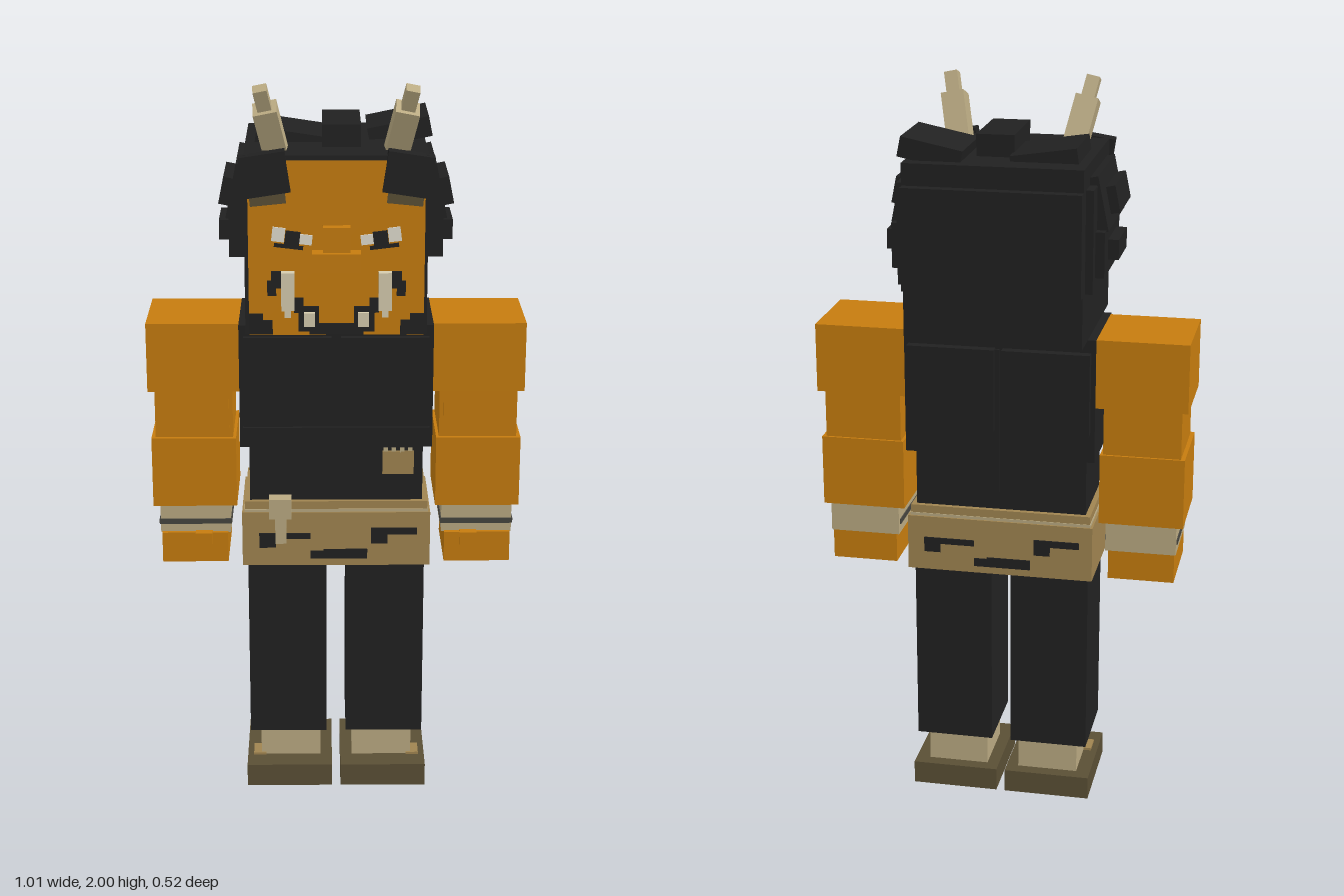
import * as THREE from 'three';

function material(name, color) {
  const m = new THREE.MeshStandardMaterial({ color });
  m.name = name;
  return m;
}

export function createModel() {
  const black = material('black cloth and hair', 0x212121);
  const skin = material('orange skin', 0xc67c0e);
  const tan = material('tan skirt', 0xa08450);
  const beige = material('beige wraps', 0xbaaa82);
  const sole = material('dark brown', 0x5a4f35);
  const ivory = material('ivory tusk', 0xd6ccae);
  const white = material('eye white', 0xe2ddd0);
  const grey = material('dark grey band', 0x45443e);

  const model = new THREE.Group();
  model.name = 'hornedFighter';
  const part = (name) => {
    const g = new THREE.Group();
    g.name = name;
    model.add(g);
    return g;
  };
  // Box from its bounds, optionally tilted about its own centre
  const box = (parent, name, mat, [x0, x1], [y0, y1], [z0, z1], rz = 0) => {
    const mesh = new THREE.Mesh(new THREE.BoxGeometry(x1 - x0, y1 - y0, z1 - z0), mat);
    mesh.position.set((x0 + x1) / 2, (y0 + y1) / 2, (z0 + z1) / 2);
    mesh.rotation.z = rz;
    mesh.name = name;
    parent.add(mesh);
    return mesh;
  };
  // The same box on both sides
  const pair = (parent, name, mat, [x0, x1], y, z, rz = 0) => {
    box(parent, name + 'Left', mat, [x0, x1], y, z, rz);
    box(parent, name + 'Right', mat, [-x1, -x0], y, z, -rz);
  };

  // Legs and shoes
  const legs = part('legs');
  pair(legs, 'shoe', sole, [0.012, 0.252], [0, 0.065], [-0.133, 0.145]);
  pair(legs, 'shoeTab', tan, [0.2, 0.235], [0.06, 0.072], [0.03, 0.085]);
  pair(legs, 'ankleWrap', beige, [0.045, 0.213], [0.06, 0.16], [-0.098, 0.08]);
  pair(legs, 'trouserLeg', black, [0.027, 0.242], [0.157, 0.7], [-0.12, 0.11]);

  // Skirt, belt and camouflage patches
  const waist = part('waist');
  box(waist, 'skirt', tan, [-0.256, 0.256], [0.677, 0.832], [-0.143, 0.135]);
  box(waist, 'belt', tan, [-0.248, 0.248], [0.832, 0.862], [-0.136, 0.128]);
  box(waist, 'beltStrip', beige, [-0.25, 0.25], [0.832, 0.84], [-0.138, 0.13]);
  const patches = [
    [-0.21, -0.07, 0.755, 0.772], [-0.21, -0.165, 0.73, 0.755],
    [0.095, 0.22, 0.768, 0.787], [0.095, 0.14, 0.742, 0.768],
    [-0.07, 0.085, 0.697, 0.72], [-0.035, 0.085, 0.713, 0.725],
  ];
  for (const [x0, x1, y0, y1] of patches) {
    box(waist, 'frontPatch', black, [x0, x1], [y0, y1], [0.131, 0.138]);
    box(waist, 'backPatch', black, [-x1, -x0], [y0, y1], [-0.146, -0.139]);
  }
  box(waist, 'buckle', beige, [-0.182, -0.122], [0.82, 0.877], [0.11, 0.156]);
  box(waist, 'strap', beige, [-0.166, -0.136], [0.745, 0.825], [0.125, 0.146]);

  // Torso and vest
  const torso = part('torso');
  box(torso, 'shirt', black, [-0.234, 0.234], [0.85, 1.03], [-0.122, 0.115]);
  box(torso, 'chest', black, [-0.258, 0.258], [1.02, 1.36], [-0.14, 0.13]);
  pair(torso, 'chestPanel', black, [0.013, 0.246], [1.083, 1.33], [0.12, 0.146]);
  box(torso, 'chestHem', black, [-0.25, 0.25], [1.025, 1.078], [0.12, 0.14]);
  pair(torso, 'backPanel', black, [0.01, 0.246], [1.1, 1.325], [-0.165, -0.13]);
  box(torso, 'backCord', black, [-0.006, 0.006], [0.93, 1.33], [-0.172, -0.165]);
  box(torso, 'pocketPatch', tan, [0.125, 0.21], [0.937, 1.003], [0.11, 0.12]);
  for (let i = 0; i < 4; i++) {
    const x = 0.128 + i * 0.022;
    box(torso, 'pocketStitch', beige, [x, x + 0.012], [1.0, 1.012], [0.11, 0.12]);
  }

  // Arms
  const arms = part('arms');
  pair(arms, 'shoulder', skin, [0.258, 0.504], [1.172, 1.36], [-0.135, 0.115]);
  pair(arms, 'elbow', skin, [0.278, 0.487], [1.03, 1.175], [-0.118, 0.098]);
  pair(arms, 'elbowPad', skin, [0.288, 0.478], [1.065, 1.17], [-0.11, 0.108]);
  pair(arms, 'forearm', skin, [0.27, 0.498], [0.843, 1.038], [-0.125, 0.11]);
  pair(arms, 'cuff', beige, [0.288, 0.48], [0.762, 0.845], [-0.118, 0.1]);
  pair(arms, 'cuffBand', grey, [0.285, 0.483], [0.788, 0.802], [-0.105, 0.105]);
  pair(arms, 'hand', skin, [0.296, 0.476], [0.68, 0.765], [-0.115, 0.113]);
  pair(arms, 'thumb', skin, [0.338, 0.384], [0.73, 0.768], [0.1, 0.126]);

  // Head and hair
  const head = part('head');
  box(head, 'hair', black, [-0.236, 0.234], [1.36, 1.828], [-0.235, 0.21]);
  box(head, 'backHair', black, [-0.236, 0.232], [1.5, 1.77], [-0.262, -0.22]);
  box(head, 'face', skin, [-0.226, 0.226], [1.36, 1.815], [0.208, 0.217]);
  pair(head, 'upperLock', black, [0.215, 0.272], [1.645, 1.79], [-0.14, 0.145], 0.2);
  pair(head, 'upperLockRidge', black, [0.25, 0.298], [1.68, 1.752], [-0.065, 0.125], 0.2);
  pair(head, 'lowerLock', black, [0.22, 0.28], [1.535, 1.655], [-0.165, 0.09]);
  pair(head, 'lowerLockRidge', black, [0.27, 0.308], [1.57, 1.623], [-0.105, 0.04]);
  pair(head, 'rearLock', black, [0.22, 0.256], [1.5, 1.77], [-0.2, -0.05]);
  box(head, 'crownLeft', black, [0.085, 0.25], [1.82, 1.873], [-0.2, 0.0], 0.2);
  box(head, 'crownRight', black, [-0.21, -0.035], [1.805, 1.855], [-0.165, 0.035], -0.15);
  box(head, 'crownMiddle', black, [-0.036, 0.064], [1.82, 1.886], [-0.115, 0.1]);
  pair(head, 'foreheadLock', black, [0.123, 0.242], [1.728, 1.834], [0.185, 0.228], -0.15);
  pair(head, 'foreheadLockTip', sole, [0.13, 0.222], [1.703, 1.75], [0.212, 0.22], -0.1);

  // Horns lean outward and forward
  for (const s of [1, -1]) {
    const horn = new THREE.Group();
    horn.name = s > 0 ? 'hornLeft' : 'hornRight';
    horn.position.set(s * 0.153, 1.81, 0.105);
    const dir = new THREE.Vector3(s * 0.042, 0.19, 0.077).normalize();
    horn.quaternion.setFromUnitVectors(new THREE.Vector3(0, 1, 0), dir);
    box(horn, 'hornBase', beige, [-0.031, 0.031], [-0.02, 0.142], [-0.031, 0.031]);
    box(horn, 'hornTip', beige, [-0.018, 0.018], [0.14, 0.2], [-0.018, 0.018]);
    head.add(horn);
  }

  // Eyes
  pair(head, 'eyeOuter', white, [0.132, 0.165], [1.608, 1.645], [0.214, 0.221], 0.12);
  pair(head, 'pupil', black, [0.094, 0.132], [1.596, 1.635], [0.214, 0.222], 0.12);
  pair(head, 'eyeInner', white, [0.062, 0.094], [1.6, 1.626], [0.214, 0.221], 0.12);
  pair(head, 'eyeLine', black, [0.085, 0.16], [1.59, 1.6], [0.214, 0.22], 0.12);

  // Nose and tusks
  box(head, 'noseBridge', skin, [-0.035, 0.035], [1.57, 1.65], [0.21, 0.247]);
  box(head, 'nose', skin, [-0.062, 0.062], [1.535, 1.585], [0.21, 0.262]);
  pair(head, 'tusk', ivory, [0.108, 0.142], [1.43, 1.53], [0.21, 0.24]);
  pair(head, 'tuskTip', ivory, [0.117, 0.134], [1.41, 1.44], [0.21, 0.232]);
  pair(head, 'lowerTusk', ivory, [0.055, 0.084], [1.385, 1.422], [0.21, 0.232]);

  // Painted beard
  const beard = [
    [0.142, 0.168, 1.485, 1.53], [0.155, 0.178, 1.465, 1.505],
    [0.085, 0.11, 1.42, 1.46], [0.045, 0.098, 1.37, 1.437],
    [0, 0.07, 1.362, 1.392], [0.165, 0.226, 1.362, 1.4],
    [0.19, 0.226, 1.4, 1.418],
  ];
  for (const [x0, x1, y0, y1] of beard) {
    pair(head, 'beard', black, [x0, x1], [y0, y1], [0.214, 0.221]);
  }
  return model;
}
